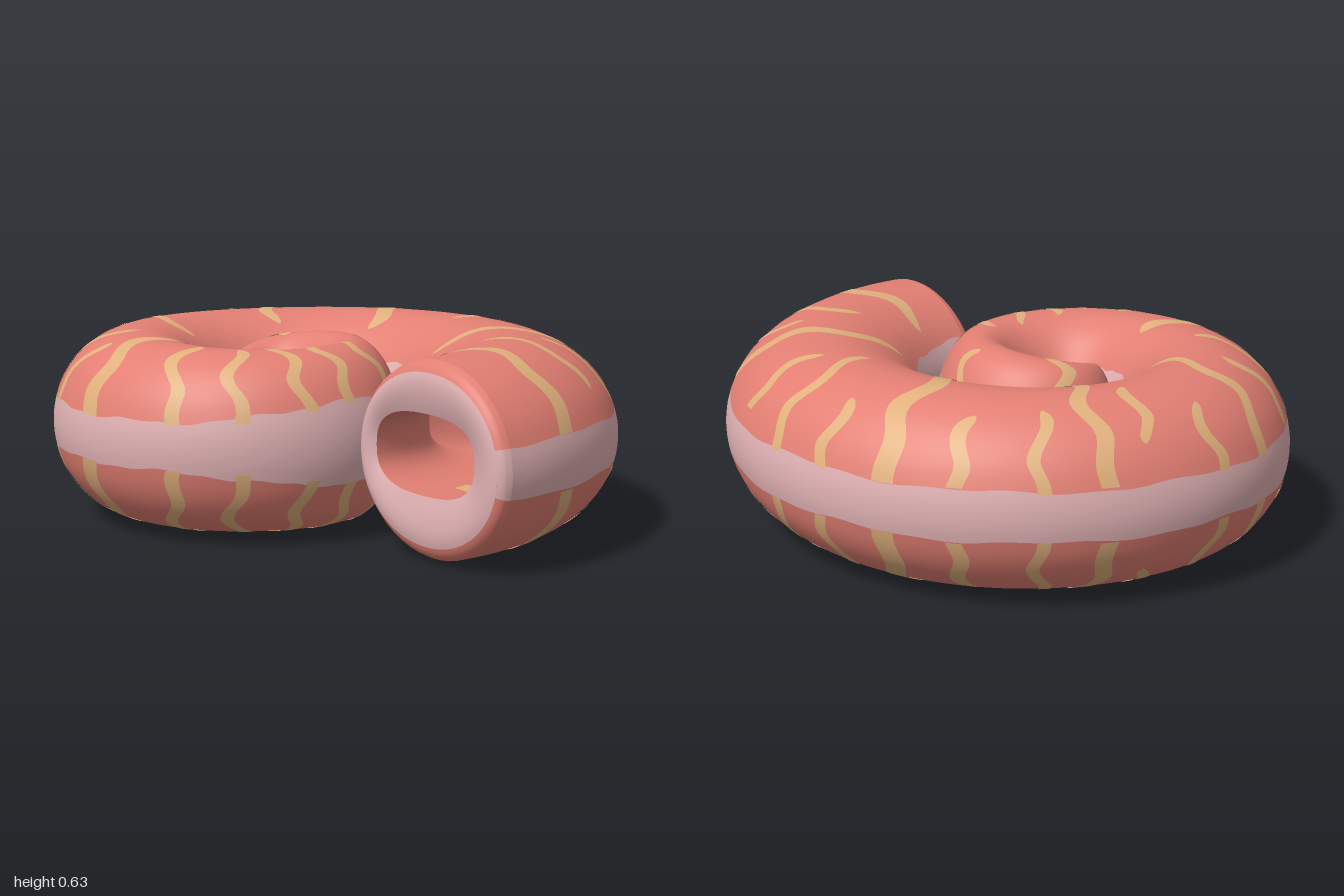
import * as THREE from 'three';

const RAD = Math.PI / 180;
const START = -9, END = 655;            // spiral angles at the mouth and the inner tip
const CX = -0.13, CZ = 0.2, MID_Y = 0.31;

const mat = (name, color) => Object.assign(
  new THREE.MeshStandardMaterial({ color, side: THREE.DoubleSide }), { name });

// Inner radius, outer radius and height of the coil, every 45 degrees
const profile = new THREE.CatmullRomCurve3([
  [.51, 1.10, .58], [.445, 1.13, .61], [.40, 1.09, .62], [.40, 1.02, .62], [.36, .94, .61],
  [.26, .86, .61], [.15, .73, .60], [.11, .61, .58], [.09, .51, .57], [.08, .445, .57],
  [.085, .395, .57], [.07, .395, .57], [.09, .35, .53], [.08, .255, .45], [.03, .15, .36],
  [.01, .11, .26], [.01, .06, .15],
].map(p => new THREE.Vector3(...p)), false, 'catmullrom', 0.5);
const profileAt = t => profile.getPoint(THREE.MathUtils.clamp((t + 45) / 720, 0, 1));

// Point in the spiral frame: angle, radius, height
const polar = (t, r, y) =>
  new THREE.Vector3(CX + r * Math.cos(t * RAD), y, CZ - r * Math.sin(t * RAD));

// Shell surface: a = 0 outside, 90 top, 180 inside, 270 bottom
function shell(t, a, lift = 0) {
  const k = profileAt(t);
  const taper = Math.min(1, Math.sqrt(Math.max(0, END - t) / 15));
  return polar(t,
    (k.x + k.y) / 2 + Math.cos(a * RAD) * ((k.y - k.x) / 2 * taper + lift),
    MID_Y + Math.sin(a * RAD) * (k.z / 2 * taper + lift));
}

// Hollow of the mouth: a rounded rectangle
function hole(t, a, size = 1) {
  const p = x => Math.sign(x) * Math.pow(Math.abs(x), 0.75) * size;
  const k = profileAt(t);
  return polar(t, (k.x + k.y) / 2 - 0.028 + p(Math.cos(a * RAD)) * 0.225,
    0.325 + p(Math.sin(a * RAD)) * 0.125);
}

// Rounded lip from the shell edge (u = 0) to the hole (u = 1)
const bulge = u => 0.045 * Math.sin(Math.PI * 0.8 * Math.pow(u, 0.6));
function lip(u, a) {
  const p = shell(START, a).lerp(hole(START, a), u);
  p.z += bulge(u);
  return p;
}

// Smooth grid surface from f(u, v)
function patch(name, material, f, nu, nv) {
  const pos = [], idx = [];
  for (let i = 0; i <= nu; i++) {
    for (let j = 0; j <= nv; j++) {
      pos.push(...f(i / nu, j / nv).toArray());
      if (i < nu && j < nv) {
        const a = i * (nv + 1) + j, b = a + nv + 1;
        idx.push(a, b, a + 1, b, b + 1, a + 1);
      }
    }
  }
  const g = new THREE.BufferGeometry();
  g.setAttribute('position', new THREE.Float32BufferAttribute(pos, 3));
  g.setIndex(idx);
  g.computeVertexNormals();
  const mesh = new THREE.Mesh(g, material);
  mesh.name = name;
  return mesh;
}

export function createModel() {
  const model = new THREE.Group();
  model.name = 'spiralShell';
  const coral = mat('coral', 0xe37f73);
  const pink = mat('palePink', 0xe0b1b3);
  const ochre = mat('ochre', 0xe0b07c);
  const { lerp, smoothstep } = THREE.MathUtils;

  // Wavy borders between the coral sides and the pink bands
  const wave = t => 0.9 * Math.sin(t * 0.17) + 0.6 * Math.sin(t * 0.41 + 1);
  const grow = t => 13 * smoothstep(t, 270, 350);
  const upper = t => 17 + grow(t) + wave(t);
  const lower = t => 12.5 + grow(t) + wave(t + 9);
  const inner = t => 32 + wave(t + 50);

  const bands = [
    ['outerBand', pink, t => -lower(t), upper, 8],
    ['upperSide', coral, upper, t => 180 - inner(t), 20],
    ['innerBand', pink, t => 180 - inner(t), t => 180 + inner(t), 10],
    ['lowerSide', coral, t => 180 + inner(t), t => 360 - lower(t), 20],
  ];
  for (const [name, material, from, to, n] of bands) {
    model.add(patch(name, material, (u, v) => {
      const t = lerp(START, END, u);
      return shell(t, lerp(from(t), to(t), v));
    }, 240, n));
    // the same colour runs over the rim of the lip
    model.add(patch(name + 'Rim', material, (u, v) =>
      lip(u * 0.22, lerp(to(START), from(START), v)), 5, n));
  }

  // Rounded core where the coil ends
  const core = new THREE.Mesh(new THREE.SphereGeometry(1, 24, 16), coral);
  core.name = 'innerTip';
  core.scale.set(0.085, 0.15, 0.085);
  core.position.set(-0.17, MID_Y, 0.215);
  model.add(core);

  // Lip face
  model.add(patch('lip', pink, (u, v) => lip(lerp(0.22, 1, u), -360 * v), 10, 56));

  // Inside wall, closed at the far end
  const inside = (u, a, size = 1) => {
    const p = hole(START + 62 * Math.min(1, u / 0.9), a,
      size * (u > 0.9 ? Math.max(0, (1 - u) / 0.1) : 1));
    p.z += bulge(1) * (1 - u);
    return p;
  };
  model.add(patch('mouthInside', coral, (u, v) => inside(u, -360 * v), 20, 48));

  // Stripe inside the mouth, up the outer wall
  model.add(patch('mouthStripe', ochre, (u, v) =>
    inside(0.13 + 0.07 * u + 0.025 * Math.sin(v * 7), 350 - 80 * v, 0.97), 3, 20));

  // Wavy stripes: angle at band, angle at inner end, section angle from, to, half width
  const stripes = [
    [4, 10, 18, 136, .03], [20, 27, 35, 104, .02], [31, 35, 22, 75, .018],
    [42, 48, 26, 135, .03], [62, 64, 28, 80, .02], [76, 73, 16, 100, .02],
    [88, 87, 16, 60, .02], [101, 99, 16, 125, .032], [114, 115, 18, 62, .022],
    [130, 128, 16, 68, .018], [142, 136, 18, 120, .024], [150, 151, 40, 88, .018],
    [167, 165, 16, 60, .018], [180, 183, 16, 125, .022], [197, 197, 20, 78, .018],
    [210, 216, 16, 92, .02], [226, 229, 16, 68, .02], [250, 238, 16, 115, .032],
    [281, 270, 16, 90, .02], [303, 293, 18, 88, .018], [328, 312, 24, 102, .018],
    [345, 338, 28, 110, .018], [374, 368, 28, 100, .018], [434, 428, 28, 75, .018],
    [500, 494, 28, 100, .022],
  ];
  stripes.forEach(([t0, t1, a0, a1, w], i) => {
    for (const side of [1, -1]) {
      const start = side < 0 && a0 < 30 ? a0 - 4 : a0;
      model.add(patch(side > 0 ? 'upperStripe' : 'lowerStripe', ochre, (u, v) => {
        const t = lerp(t0, t1, v), a = lerp(start, a1, v);
        const k = profileAt(t);
        const r = (k.x + k.y) / 2 + 0.3 * (k.y - k.x) * Math.cos(a * RAD);
        // rounded inner end, and outer end too where it stops short of the band
        const tip = Math.sqrt(Math.min(1, (1 - v) * 8, a0 > 30 ? v * 8 : 1));
        const bend = 0.022 * Math.min(1, v * 3) * Math.sin(v * (a1 - a0) * 0.12 + i * 1.7);
        const across = (u - 0.5) * 2 * side * w * tip;
        return shell(t + (across + bend) / r / RAD, a * side, 0.002);
      }, 4, 26));
    }
  });

  return model;
}
